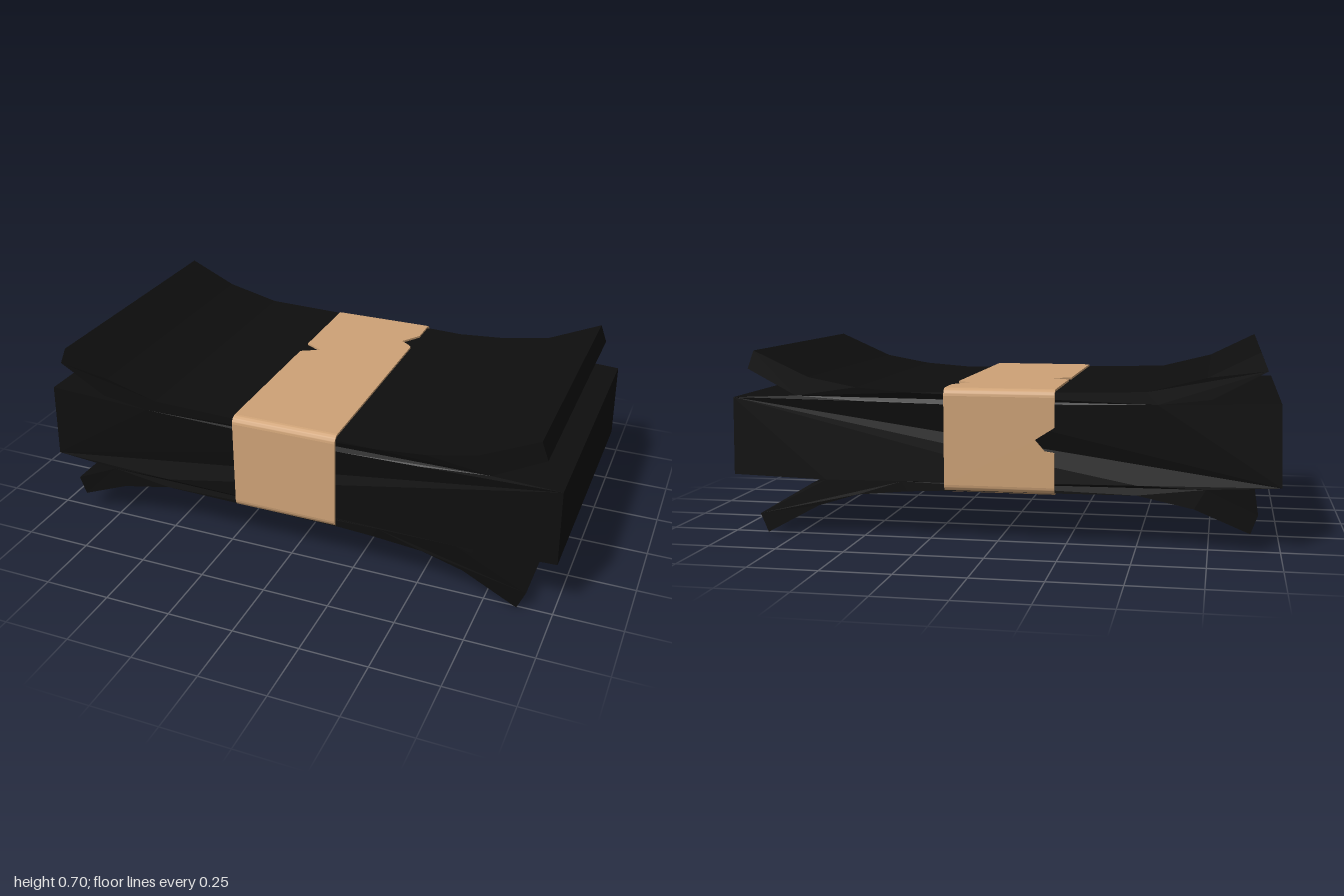
import * as THREE from 'three';
import { toCreasedNormals } from 'three/addons/utils/BufferGeometryUtils.js';

const paperBlack = new THREE.MeshStandardMaterial({ color: 0x0e0e0e });
paperBlack.name = 'paper black';
const bandTan = new THREE.MeshStandardMaterial({ color: 0xcfa377 });
bandTan.name = 'band tan';

// Half depth of the stack at a given x: the ends are slightly narrower.
function halfDepth(x) {
  const a = Math.abs(x), start = x < 0 ? 0.57 : 0.35;
  return 0.524 - 0.016 * THREE.MathUtils.smoothstep(a, start, 0.95);
}

function toShape(points) {
  return new THREE.Shape(points.map(([x, y]) => new THREE.Vector2(x, y)));
}

// Side profile (x, y) extruded through the depth and tapered at the ends.
function sheets(name, points) {
  const geo = new THREE.ExtrudeGeometry(toShape(points), { depth: 2, bevelEnabled: false });
  const p = geo.attributes.position;
  for (let i = 0; i < p.count; i++) {
    p.setZ(i, (p.getZ(i) - 1) * halfDepth(p.getX(i)));
  }
  geo.computeVertexNormals();
  const mesh = new THREE.Mesh(geo, paperBlack);
  mesh.name = name;
  return mesh;
}

export function createModel() {
  const model = new THREE.Group();
  model.name = 'bandedStack';

  // Seams shared by the core and the bent outer sheets
  const upperSeam = [[-0.57, 0.514], [-0.2, 0.505], [0.2, 0.5], [0.5, 0.505], [0.75, 0.519]];
  const lowerSeam = [[-0.74, 0.22], [-0.5, 0.228], [-0.2, 0.225], [0.35, 0.215], [0.64, 0.211]];

  model.add(sheets('coreStack', [
    [-1, 0.232], ...lowerSeam, [1, 0.219], [0.995, 0.508],
    ...[...upperSeam].reverse(), [-0.99, 0.523],
  ]));
  model.add(sheets('upperBentSheets', [
    [-0.942, 0.635], [-0.755, 0.535], ...upperSeam, [0.935, 0.615], [0.91, 0.682],
    [0.7, 0.588], [0.52, 0.555], [0.33, 0.54], [0.2, 0.544], [-0.2, 0.55],
    [-0.53, 0.558], [-0.735, 0.61], [-0.915, 0.7],
  ]));
  model.add(sheets('lowerBentSheets', [
    [-0.895, 0.067], [-0.7, 0.15], [-0.5, 0.193], [-0.2, 0.19], [0.2, 0.186],
    [0.33, 0.179], [0.52, 0.16], [0.67, 0.113], [0.872, 0.003], [0.902, 0.073],
    [0.7, 0.192], ...[...lowerSeam].reverse(), [-0.92, 0.135],
  ]));

  // Paper band: four thin panels joined by rounded corners
  const band = new THREE.Group();
  band.name = 'paperBand';
  band.position.set(-0.01, 0.371, 0);
  model.add(band);
  const w = 0.2, h = 0.189, d = 0.533, r = 0.028, t = 0.008;

  // Flat panel of the band; tears are points cut into its left and right edges.
  function panel(name, half, offset, rotX, rotY, leftTear = [], rightTear = []) {
    const shape = toShape([
      [-w, -half], [w, -half], ...rightTear, [w, half], [-w, half], ...leftTear,
    ]);
    const geo = new THREE.ExtrudeGeometry(shape, { depth: t, bevelEnabled: false });
    geo.translate(0, 0, offset - t).rotateX(rotX).rotateY(rotY);
    const mesh = new THREE.Mesh(geo, bandTan);
    mesh.name = name;
    band.add(mesh);
  }
  panel('bandTop', d - r, h, -Math.PI / 2, 0,
    [[-w, 0.16], [-0.13, 0.12], [-w, 0.08]],
    [[w, 0.285], [0.185, 0.3], [0.15, 0.325], [w, 0.4]]);
  panel('bandBottom', d - r, h, Math.PI / 2, 0);
  panel('bandFront', h - r, d, 0, 0);
  panel('bandBack', h - r, d, 0, Math.PI, [],
    [[w, -0.035], [0.165, -0.03], [0.13, 0.01], [w, 0.055]]);

  // Rounded corners, a quarter ring swept along x
  for (let i = 0; i < 4; i++) {
    const a = i * Math.PI / 2;
    const ring = new THREE.Shape();
    ring.absarc(0, 0, r, a, a + Math.PI / 2, false);
    ring.absarc(0, 0, r - t, a + Math.PI / 2, a, true);
    const raw = new THREE.ExtrudeGeometry(ring, { depth: 2 * w, bevelEnabled: false, curveSegments: 6 });
    raw.translate(0, 0, -w).rotateY(Math.PI / 2);
    const corner = new THREE.Mesh(toCreasedNormals(raw, 0.6), bandTan);
    corner.name = 'bandCorner';
    // after the turn, the ring's x runs along -z
    const sx = Math.sign(Math.cos(a + Math.PI / 4)), sy = Math.sign(Math.sin(a + Math.PI / 4));
    corner.position.set(0, sy * (h - r), -sx * (d - r));
    band.add(corner);
  }
  return model;
}
